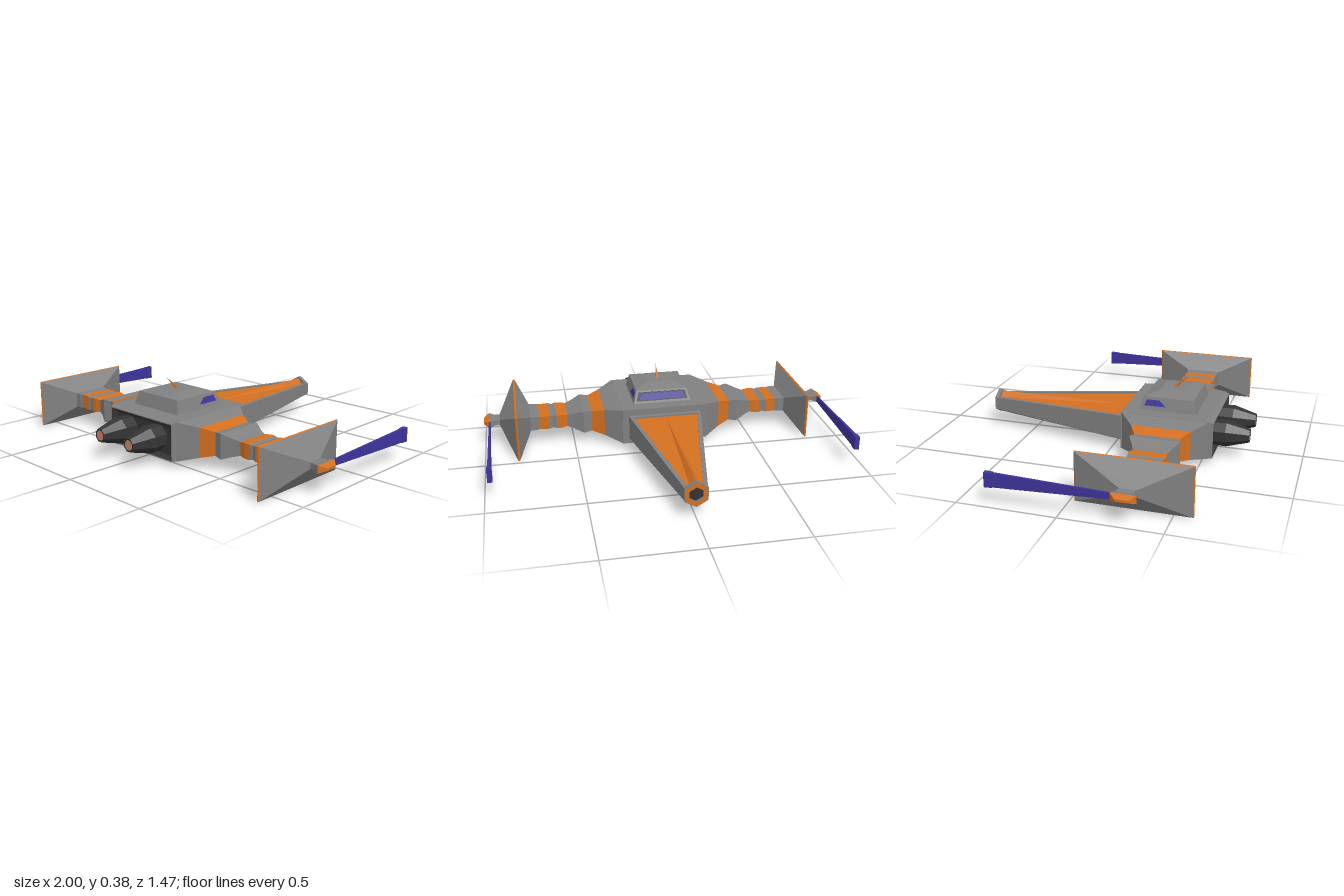
import * as THREE from 'three';

const mat = (name, color) => {
  const m = new THREE.MeshStandardMaterial({ color });
  m.name = name;
  return m;
};

// Skins a list of equal-length rings into a closed faceted solid; one material per segment.
function loft(name, rings, mats) {
  const tris = [], groups = [], n = rings[0].length;
  const cap = (r) => { for (let k = 1; k < n - 1; k++) tris.push([r[0], r[k], r[k + 1]]); };
  for (let i = 0; i < rings.length - 1; i++) {
    const a = rings[i], b = rings[i + 1], start = tris.length;
    if (i === 0) cap(a);
    for (let k = 0; k < n; k++) {
      const j = (k + 1) % n;
      tris.push([a[k], b[k], b[j]], [a[k], b[j], a[j]]);
    }
    if (i === rings.length - 2) cap([...b].reverse());
    groups.push([start * 3, (tris.length - start) * 3]);
  }
  // Turn the solid right side out
  const v = (p) => new THREE.Vector3(...p);
  const volume = tris.reduce((s, [a, b, c]) => s + v(a).dot(v(b).cross(v(c))), 0);
  if (volume < 0) tris.forEach((t) => t.reverse());
  return toMesh(name, tris, mats, groups);
}

function toMesh(name, tris, mats, groups = []) {
  const g = new THREE.BufferGeometry();
  g.setAttribute('position', new THREE.Float32BufferAttribute(tris.flat(2), 3));
  g.computeVertexNormals();
  if (Array.isArray(mats)) groups.forEach(([s, c], i) => g.addGroup(s, c, i));
  const mesh = new THREE.Mesh(g, mats);
  mesh.name = name;
  return mesh;
}

// Rectangular rings across each axis
const ringX = (x, hz, hy, cz = 0.308, cy = 0.13) =>
  [[x, cy - hy, cz - hz], [x, cy + hy, cz - hz], [x, cy + hy, cz + hz], [x, cy - hy, cz + hz]];
const ringY = (y, hx, z0, z1) => [[-hx, y, z0], [hx, y, z0], [hx, y, z1], [-hx, y, z1]];
const ringZ = (z, cx, hx, y0, y1) =>
  [[cx - hx, y0, z], [cx + hx, y0, z], [cx + hx, y1, z], [cx - hx, y1, z]];

export function createModel() {
  const model = new THREE.Group();
  model.name = 'spacecraft';
  const grey = mat('hull grey', 0x808080);
  const dark = mat('engine charcoal', 0x343434);
  const orange = mat('trim orange', 0xd47020);
  const blue = mat('glass blue', 0x3e339c);
  const glow = mat('nozzle copper', 0xc98468);
  orange.side = THREE.FrontSide;
  const add = (...m) => model.add(...m);

  // Central body with a recessed engine bay
  add(loft('body', [ringX(-0.24, 0.23, 0.101, 0.3, 0.131), ringX(0.24, 0.23, 0.101, 0.3, 0.131)], grey));
  add(loft('engineBay', [
    ringZ(0.5, 0, 0.24, 0.03, 0.232), ringZ(0.53, 0, 0.24, 0.03, 0.232),
    ringZ(0.558, 0, 0.232, 0.03, 0.222), ringZ(0.558, 0, 0.226, 0.034, 0.217),
    ringZ(0.535, 0, 0.2, 0.05, 0.195),
  ], [grey, grey, grey, dark]));

  for (const s of [1, -1]) {
    const side = s > 0 ? 'left' : 'right';

    // Ribbed wing with painted bands
    const wing = [
      [0.24, 0.23, 0.101, grey], [0.33, 0.156, 0.077, orange], [0.4, 0.117, 0.06, grey],
      [0.445, 0.13, 0.065, grey], [0.5, 0.1, 0.045, grey], [0.535, 0.086, 0.035, orange],
      [0.57, 0.094, 0.039, orange], [0.595, 0.094, 0.039, grey], [0.615, 0.088, 0.034, grey],
      [0.635, 0.094, 0.039, orange], [0.69, 0.09, 0.038, grey], [0.71, 0.096, 0.04, grey],
      [0.75, 0.096, 0.04, grey],
    ];
    add(loft(side + 'Wing', wing.map(([x, hz, hy]) => ringX(s * x, hz, hy)),
      wing.slice(0, -1).map((w) => w[3])));

    // Wingtip fin: two flattened pyramids joined by an orange edge
    const fin = [[0.742, 0.094, 0.04], [0.813, 0.281, 0.1255], [0.819, 0.286, 0.1285],
      [0.825, 0.281, 0.1255], [0.912, 0.037, 0.016]];
    add(loft(side + 'Fin', fin.map(([x, hz, hy]) => ringX(s * x, hz, hy, 0.308, 0.1285)),
      [grey, orange, orange, grey]));

    // Tip pod with orange cap
    const pod = [[0.905, 0.037, 0.014], [0.94, 0.045, 0.014], [0.97, 0.062, 0.02], [1, 0.032, 0.006]];
    add(loft(side + 'Pod', pod.map(([x, hz, hy]) => ringX(s * x, hz, hy, 0.305)), [grey, grey, orange]));

    // Trailing blade
    const bx = s * 0.967;
    add(loft(side + 'Blade', [
      ringZ(0.26, bx, 0.004, 0.116, 0.147), ringZ(-0.32, bx, 0.008, 0.092, 0.163),
      ringZ(-0.32, bx, 0.013, 0.092, 0.163), ringZ(-0.36, bx, 0.013, 0.09, 0.165),
    ], blue));

    // Engine: eight-sided, tapering forward to a nozzle
    const profile = [[0, 0.5], [0.066, 0.5], [0.07, 0.61], [0.036, 0.73], [0.028, 0.73], [0.026, 0.722], [0, 0.722]];
    const lathe = new THREE.LatheGeometry(profile.map(([r, z]) => new THREE.Vector2(r, z)), 8)
      .rotateY(Math.PI / 8).rotateX(Math.PI / 2).toNonIndexed();
    lathe.computeVertexNormals();
    const engine = new THREE.Mesh(lathe, dark);
    engine.name = side + 'Engine';
    engine.position.set(s * 0.11, 0.13, 0);
    const nozzle = new THREE.Mesh(new THREE.CircleGeometry(0.028, 8), glow);
    nozzle.name = side + 'Nozzle';
    nozzle.position.set(s * 0.11, 0.13, 0.7285);
    add(engine, nozzle);

    // Cabin side window
    const pane = (d) => [[s * (0.158 + d), 0.255, 0.29], [s * (0.158 + d), 0.255, 0.176],
      [s * (0.149 + d), 0.285, 0.186], [s * (0.149 + d), 0.285, 0.255]];
    add(loft(side + 'Window', [pane(-0.003), pane(0.003)], blue));
  }

  // Cabin on top of the body, with a framed rear window
  add(loft('cabin', [ringY(0.22, 0.167, 0.142, 0.458), ringY(0.3, 0.145, 0.172, 0.435),
    ringY(0.322, 0.075, 0.24, 0.37)], grey));
  const rear = (d, w0, w1, y0, y1) => {
    const z = (y) => 0.1465 + (y - 0.232) * 0.375 - d;
    return [[-w0, y0, z(y0)], [w0, y0, z(y0)], [w1, y1, z(y1)], [-w1, y1, z(y1)]];
  };
  add(loft('rearWindowFrame', [rear(-0.003, 0.145, 0.132, 0.245, 0.291), rear(0.002, 0.145, 0.132, 0.245, 0.291)], dark));
  add(loft('rearWindow', [rear(-0.003, 0.13, 0.12, 0.252, 0.285), rear(0.004, 0.13, 0.12, 0.252, 0.285)], blue));

  // Antenna leaning forward
  const antenna = new THREE.Mesh(new THREE.ConeGeometry(0.011, 0.11, 6), orange);
  antenna.name = 'antenna';
  antenna.position.set(0, 0.346, 0.333);
  antenna.rotation.x = 0.82;
  add(antenna);

  // Tail boom: a box at the body that becomes a hexagon, with a tray in its top
  const tailRing = (z, o, i, top, floor, low, keel) => [[0, keel, z], [o, low, z], [o, top, z], [i, top, z],
    [i, floor, z], [-i, floor, z], [-i, top, z], [-o, top, z], [-o, low, z]];
  add(loft('tail', [tailRing(0.065, 0.203, 0.183, 0.197, 0.184, 0.062, 0.062),
    tailRing(-0.715, 0.059, 0.037, 0.163, 0.155, 0.095, 0.061)], grey));
  add(loft('tailRoot', [ringZ(0.1, 0, 0.203, 0.062, 0.197), ringZ(0.045, 0, 0.199, 0.063, 0.196)], grey));

  // Orange tray panels rising to a narrow central ridge
  const panel = [], M = [0, 0.187, 0.01], R = [0, 0.188, -0.715];
  const F = (s) => [s * 0.181, 0.187, 0.045];
  panel.push([F(-1), F(1), M]);
  for (const s of [1, -1]) {
    const W = [s * 0.026, 0.158, -0.715], E = [s * 0.038, 0.158, -0.715];
    for (const t of [[F(s), M, W], [F(s), W, E], [M, W, R]]) panel.push(s > 0 ? t : t.reverse());
  }
  // Face every panel upward
  panel.forEach((t) => {
    const [a, b, c] = t;
    const ny = (b[2] - a[2]) * (c[0] - a[0]) - (b[0] - a[0]) * (c[2] - a[2]);
    if (ny < 0) t.reverse();
  });
  add(toMesh('tailPanel', panel, orange));

  // Hexagonal collar, orange rim and dark opening at the tail end
  const hex = (r) => Array.from({ length: 6 }, (_, k) =>
    new THREE.Vector2(r * Math.sin(k * Math.PI / 3), r * Math.cos(k * Math.PI / 3)));
  const collar = (name, outer, inner, depth, z, m) => {
    const shape = new THREE.Shape(hex(outer));
    if (inner) shape.holes.push(new THREE.Path(hex(inner)));
    const mesh = new THREE.Mesh(new THREE.ExtrudeGeometry(shape, { depth, bevelEnabled: false }), m);
    mesh.name = name;
    mesh.position.set(0, 0.129, z);
    add(mesh);
  };
  collar('tailCollar', 0.068, 0.042, 0.022, -0.735, grey);
  collar('tailRim', 0.063, 0.04, 0.022, -0.737, orange);
  collar('tailOpening', 0.042, 0, 0.004, -0.719, dark);

  return model;
}
